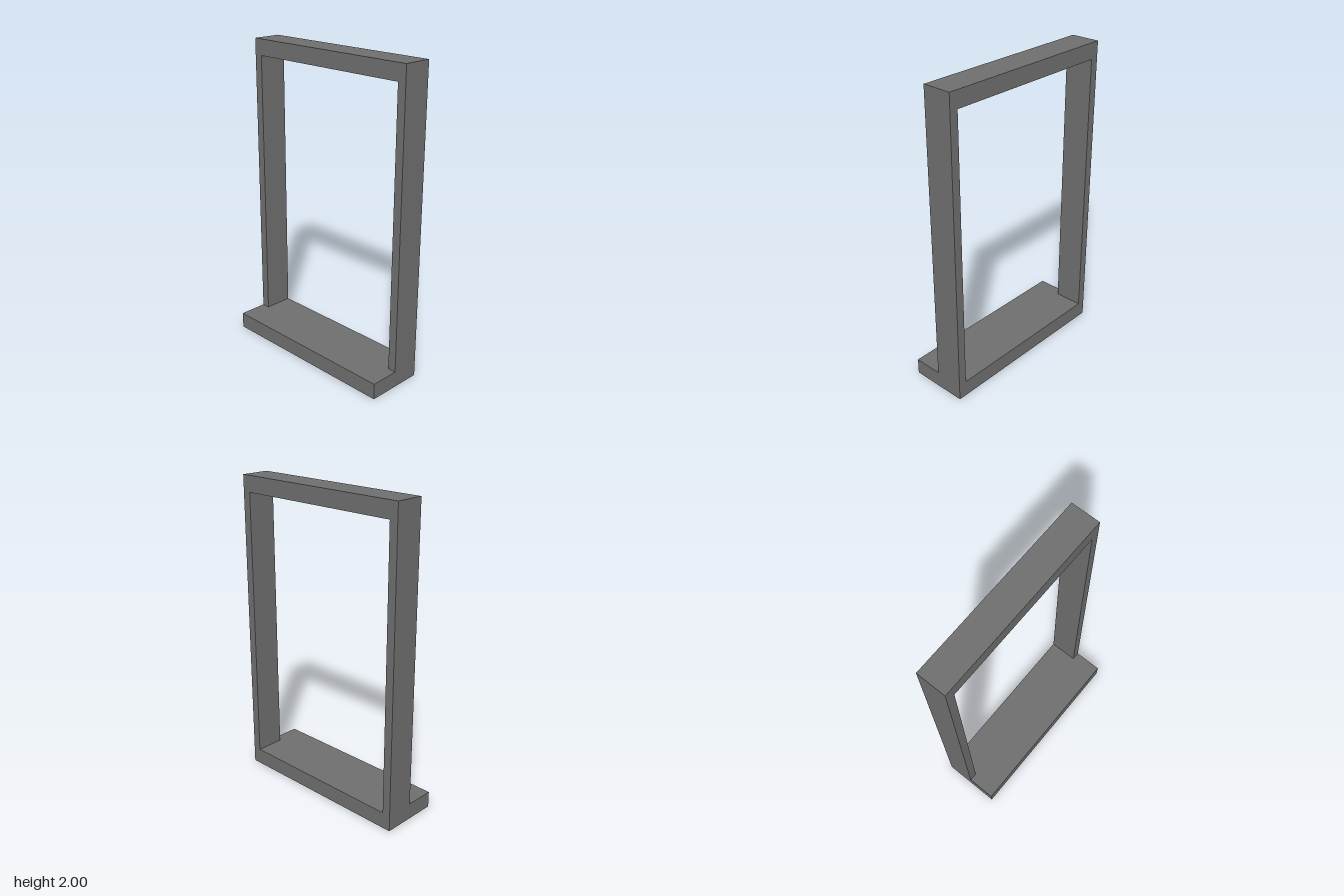
import * as THREE from 'three';

const W = 1.245;      // overall width
const H = 2;          // overall height
const D = 0.19;       // depth of the frame, and of the sill in front of it
const RAIL = 0.105;   // height of top and bottom rails
const JAMB = 0.055;   // width of the side posts

export function createModel() {
  const group = new THREE.Group();
  group.name = 'doorFrame';

  const grey = new THREE.MeshStandardMaterial({ color: 0x6e6e6e });
  grey.name = 'dark grey';

  // Upright frame: rectangle with a rectangular opening
  const outline = new THREE.Shape([
    new THREE.Vector2(-W / 2, 0),
    new THREE.Vector2(W / 2, 0),
    new THREE.Vector2(W / 2, H),
    new THREE.Vector2(-W / 2, H),
  ]);
  const x = W / 2 - JAMB;
  outline.holes.push(new THREE.Path([
    new THREE.Vector2(-x, RAIL),
    new THREE.Vector2(-x, H - RAIL),
    new THREE.Vector2(x, H - RAIL),
    new THREE.Vector2(x, RAIL),
  ]));
  const frame = new THREE.Mesh(
    new THREE.ExtrudeGeometry(outline, { depth: D, bevelEnabled: false }), grey);
  frame.name = 'frame';
  frame.position.z = -D;
  group.add(frame);

  // Sill projecting forward from the bottom rail
  const sill = new THREE.Mesh(new THREE.BoxGeometry(W, RAIL, D), grey);
  sill.name = 'sill';
  sill.position.set(0, RAIL / 2, D / 2);
  group.add(sill);

  return group;
}
